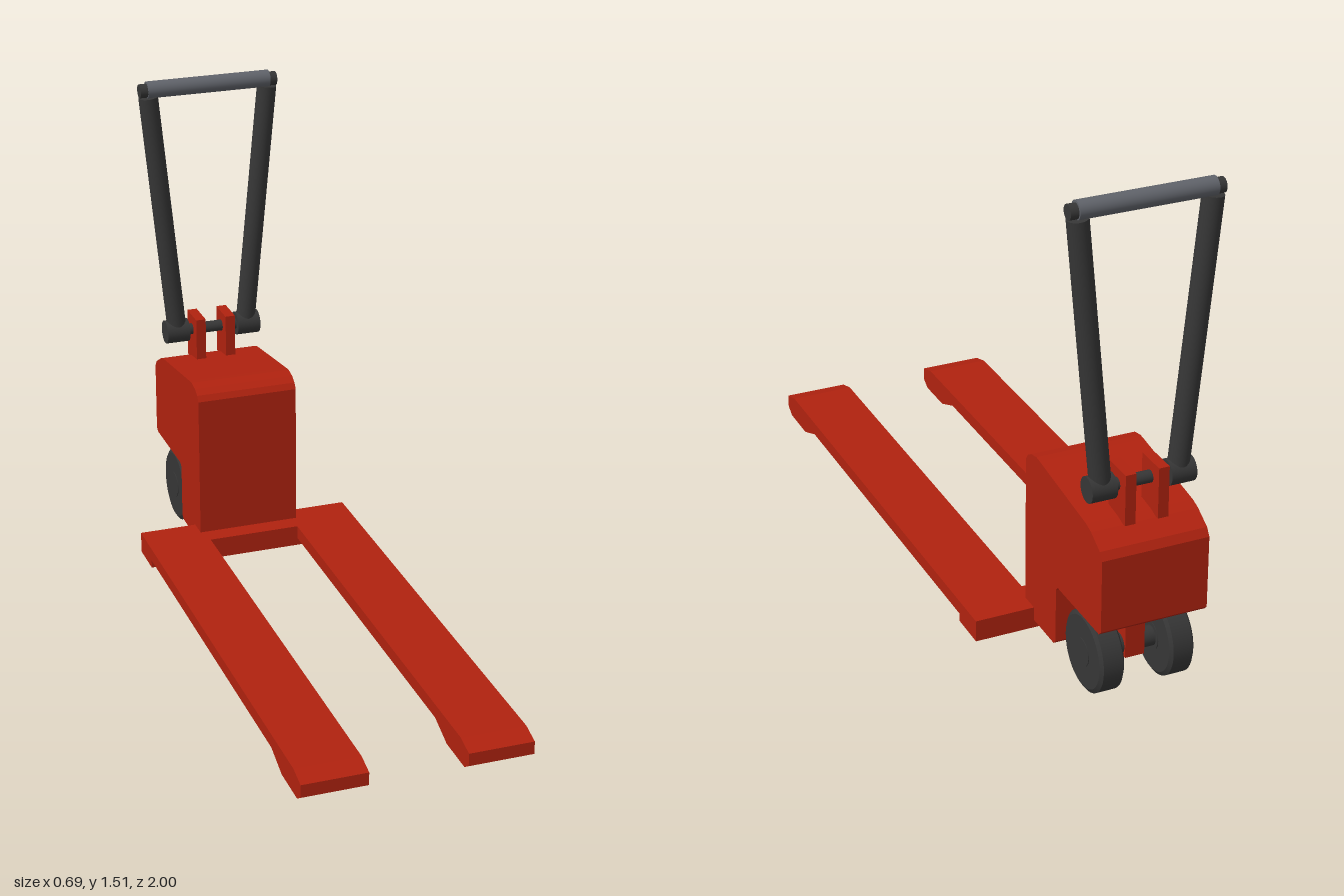
import * as THREE from 'three';

export function createModel() {
  const model = new THREE.Group();
  model.name = 'palletTruck';
  const paint = (name, color) => {
    const m = new THREE.MeshStandardMaterial({ color });
    m.name = name;
    return m;
  };
  const red = paint('red', 0xb0220f);
  const dark = paint('darkGrey', 0x363636);
  const grey = paint('gripGrey', 0x60636a);

  const add = (name, geometry, material, x = 0, y = 0, z = 0) => {
    const mesh = new THREE.Mesh(geometry, material);
    mesh.name = name;
    mesh.position.set(x, y, z);
    model.add(mesh);
    return mesh;
  };
  // Side outline of [z, y] points, extruded across x and centred
  const sideProfile = (points, width) => {
    const shape = new THREE.Shape(points.map(([z, y]) => new THREE.Vector2(z, y)));
    const g = new THREE.ExtrudeGeometry(shape, { depth: width, bevelEnabled: false });
    return g.translate(0, 0, -width / 2).rotateY(-Math.PI / 2);
  };
  // Cylinder lying along x
  const rod = (r, length, sides = 32) =>
    new THREE.CylinderGeometry(r, r, length, sides).rotateZ(Math.PI / 2);

  // Motor housing
  add('housing', sideProfile([
    [-0.51, 0.065], [-0.51, 0.565], [-0.522, 0.583], [-0.545, 0.597], [-0.58, 0.604],
    [-0.60, 0.602], [-0.90, 0.56], [-0.93, 0.55], [-0.985, 0.518], [-1, 0.495],
    [-1, 0.272], [-0.988, 0.26], [-0.727, 0.26], [-0.715, 0.248],
    [-0.715, 0.077], [-0.703, 0.065],
  ], 0.325), red);

  // Steering mount under the housing
  add('steeringPlate', new THREE.BoxGeometry(0.18, 0.025, 0.17), red, 0, 0.25, -0.8);
  add('steeringStem', new THREE.BoxGeometry(0.06, 0.16, 0.07), red, 0, 0.17, -0.855);

  // Cross member joining the forks
  add('crossMember', new THREE.BoxGeometry(0.69, 0.067, 0.12), red, 0, 0.0735, -0.51);

  add('wheelAxle', rod(0.03, 0.16), dark, 0, 0.121, -0.855);
  add('handlePivot', rod(0.018, 0.2), dark, 0, 0.658, -0.89);

  // Drive wheel outline with softened shoulders
  const tyre = [[0, -0.038], [0.108, -0.038], [0.108, -0.038], [0.12, -0.03], [0.12, -0.03],
    [0.12, 0.03], [0.12, 0.03], [0.108, 0.038], [0.108, 0.038], [0, 0.038]]
    .map(([r, h]) => new THREE.Vector2(r, h));

  for (const [side, s] of [['left', 1], ['right', -1]]) {
    // Fork with sloped tip and its load roller
    add(side + 'Fork', sideProfile([
      [-0.57, 0.065], [0.75, 0.065], [0.84, 0.03], [0.97, 0.03], [1, 0.05],
      [1, 0.09], [0.94, 0.107], [-0.57, 0.107],
    ], 0.198), red, s * 0.246);
    add(side + 'LoadRoller', rod(0.05, 0.06), dark, s * 0.247, 0.05, 0.88);

    // Drive wheel and hub
    add(side + 'DriveWheel', new THREE.LatheGeometry(tyre, 40).rotateZ(Math.PI / 2),
      dark, s * 0.108, 0.121, -0.855);
    add(side + 'Hub', rod(0.042, 0.08), dark, s * 0.108, 0.121, -0.855);

    // Handle hinge
    add(side + 'HingePlate', new THREE.BoxGeometry(0.032, 0.155, 0.1), red, s * 0.05, 0.628, -0.89);
    add(side + 'HingeCollar', rod(0.038, 0.076), dark, s * 0.12, 0.658, -0.89);

    // Splayed handle arm
    const from = new THREE.Vector3(s * 0.117, 0.66, -0.89);
    const to = new THREE.Vector3(s * 0.196, 1.46, -0.89);
    const dir = to.clone().sub(from);
    const arm = add(side + 'HandleArm',
      new THREE.CylinderGeometry(0.031, 0.031, dir.length(), 24), dark);
    arm.position.copy(from).lerp(to, 0.5);
    arm.quaternion.setFromUnitVectors(new THREE.Vector3(0, 1, 0), dir.normalize());

    add(side + 'GripEnd', rod(0.022, 0.03, 24), dark, s * 0.21, 1.481, -0.89);
  }

  // Handle grip
  add('grip', rod(0.027, 0.402), grey, 0, 1.483, -0.89);

  return model;
}
